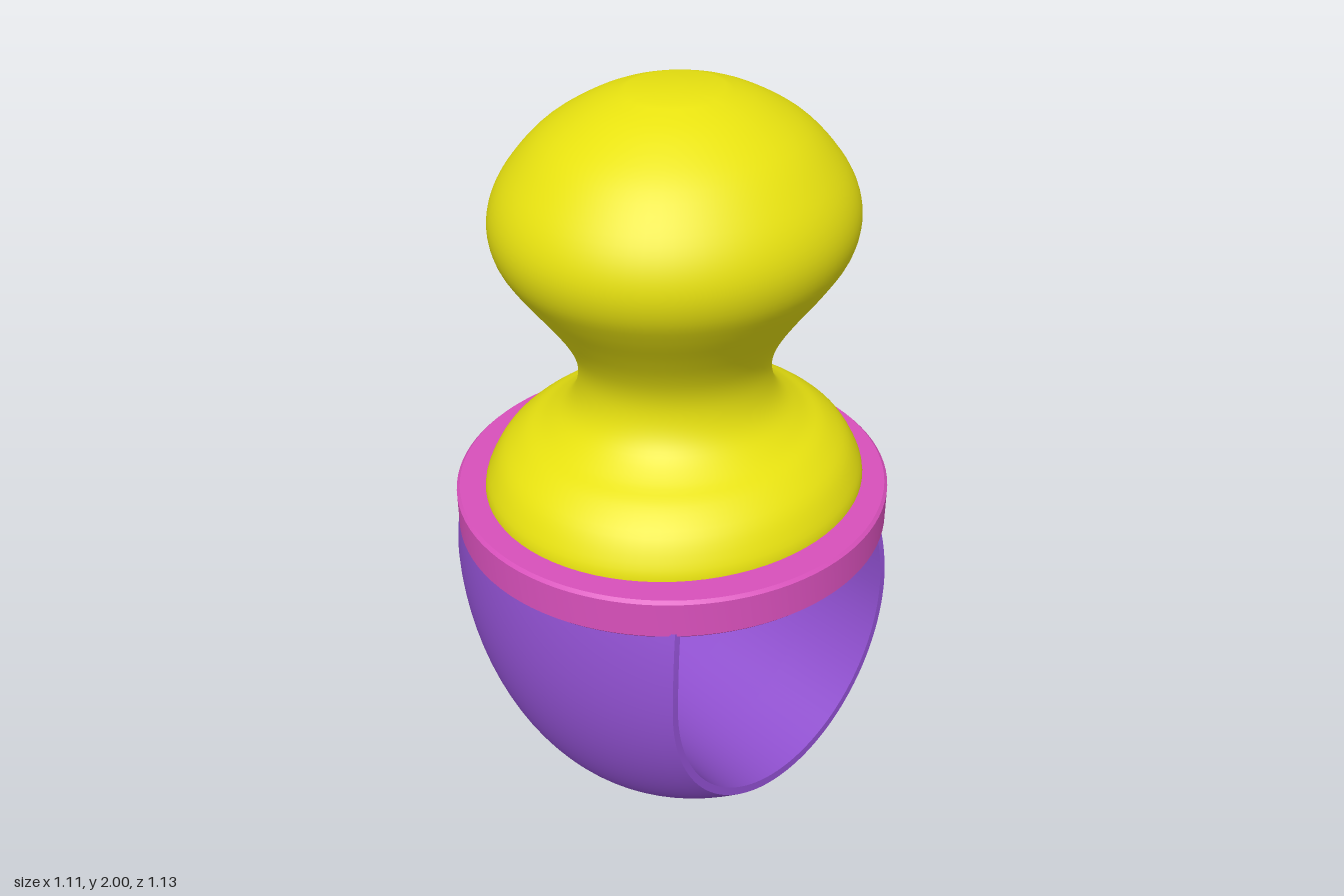
import * as THREE from 'three';
import { ParametricGeometry } from 'three/addons/geometries/ParametricGeometry.js';
import { toCreasedNormals } from 'three/addons/utils/BufferGeometryUtils.js';

const paint = (color) => new THREE.MeshStandardMaterial({ color });

function addMesh(group, name, geometry, color) {
  const mesh = new THREE.Mesh(geometry, paint(color));
  mesh.name = name;
  group.add(mesh);
  return mesh;
}

// Point on one U-shaped side profile: half ellipse below, nearly upright arms above
function profile(u, halfWidth, depth, upperHeight) {
  const s = Math.abs(u), bend = 0.75, midY = 0.66;
  let y, z;
  if (s < bend) {
    const angle = (s / bend) * Math.PI / 2;
    z = halfWidth * Math.sin(angle);
    y = midY - depth * Math.cos(angle);
  } else {
    const rise = 0.22 * (s - bend) / (1 - bend);
    z = halfWidth * Math.sqrt(1 - (rise / upperHeight) ** 2);
    y = midY + rise;
  }
  return { y, z: 0.015 + Math.sign(u) * z };
}

// Finger band: domed outside, straight tunnel inside, thin at its side rims
function bandGeometry() {
  const slices = 96, around = 30, domeSteps = 24;
  const surface = (a, b, target) => {
    const u = a * 2 - 1, k = Math.round(b * around) % around;
    const topPart = Math.max(0, (Math.abs(u) - 0.75) / 0.25);
    const w = 0.44 - 0.02 * topPart * topPart;
    const inner = profile(u, 0.363, 0.435, 0.6);
    if (k > domeSteps) {
      const t = (k - domeSteps - 1) / (around - domeSteps - 2);
      target.set(w * (2 * t - 1), inner.y, inner.z);
    } else {
      const t = 1 - 2 * k / domeSteps;
      const outer = profile(u, 0.515, 0.66, 0.75);
      const blend = 0.89 * t * t;
      target.set(w * t,
        THREE.MathUtils.lerp(outer.y, inner.y, blend),
        THREE.MathUtils.lerp(outer.z, inner.z, blend));
    }
  };
  return toCreasedNormals(new ParametricGeometry(surface, slices, around), 0.6);
}

export function createModel() {
  const group = new THREE.Group();
  group.name = 'pacifierRing';

  addMesh(group, 'fingerBand', bandGeometry(), 0x9050d0);

  // Flat oval plate with slightly softened edges
  const plateProfile = [
    [0, 0.865], [0.545, 0.865], [0.553, 0.873], [0.553, 0.965], [0.545, 0.973], [0, 0.973],
  ].map(([r, y]) => new THREE.Vector2(r, y));
  const plate = addMesh(group, 'plate',
    toCreasedNormals(new THREE.LatheGeometry(plateProfile, 96), 0.6), 0xd850bb);
  plate.scale.z = 1.018;

  // Teat: domed foot, narrow neck and round bulb with a small flat top
  const teatCurve = new THREE.SplineCurve([
    [0.472, 0.96], [0.465, 1.0], [0.43, 1.065], [0.375, 1.115], [0.32, 1.145], [0.27, 1.185],
    [0.243, 1.23], [0.233, 1.285], [0.241, 1.34], [0.268, 1.4], [0.313, 1.47], [0.37, 1.55],
    [0.411, 1.62], [0.425, 1.69], [0.411, 1.76], [0.37, 1.83], [0.3, 1.905], [0.2, 1.967],
    [0.11, 2.0],
  ].map(([r, y]) => new THREE.Vector2(r, y)));
  const teatProfile = [...teatCurve.getPoints(72), new THREE.Vector2(0, 2)];
  const teat = addMesh(group, 'teat',
    toCreasedNormals(new THREE.LatheGeometry(teatProfile, 80), 0.6), 0xe8e210);
  teat.scale.z = 1.07;
  teat.position.z = -0.01;

  return group;
}
